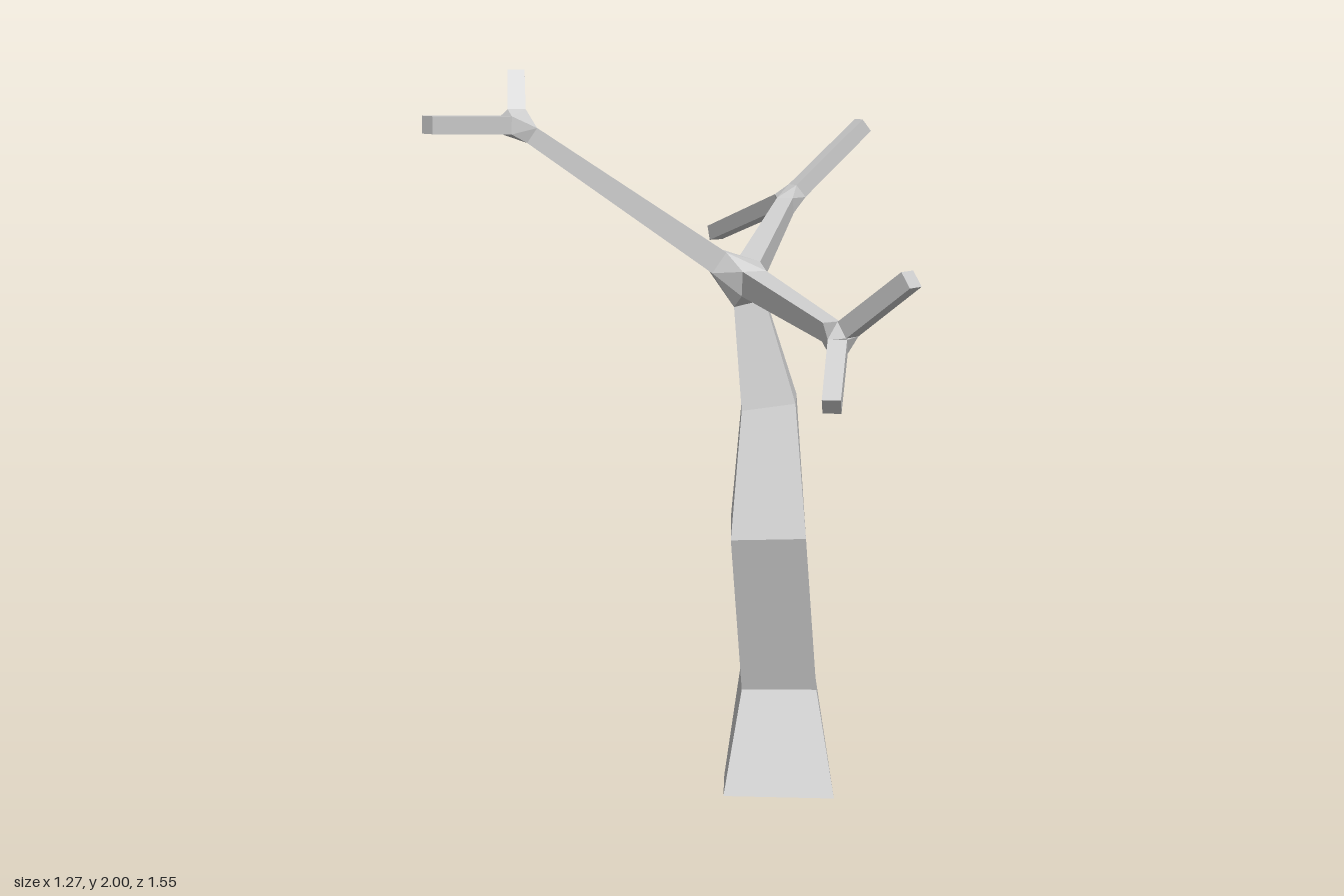
import * as THREE from 'three';
import { ConvexGeometry } from 'three/addons/geometries/ConvexGeometry.js';

const V = (p) => new THREE.Vector3(...p);
const material = new THREE.MeshStandardMaterial({ color: 0xcccccc, flatShading: true });

function add(group, geometry, name) {
  const mesh = new THREE.Mesh(geometry, material);
  mesh.name = name;
  group.add(mesh);
}

// Skin a stack of four-cornered rings and close both ends
function loft(rings) {
  const positions = [];
  const quad = (a, b, c, d) => [a, b, c, a, c, d].forEach((p) => positions.push(p.x, p.y, p.z));
  for (let k = 0; k + 1 < rings.length; k++) {
    const lower = rings[k], upper = rings[k + 1];
    for (let i = 0; i < 4; i++) {
      const j = (i + 1) % 4;
      quad(lower[i], lower[j], upper[j], upper[i]);
    }
  }
  const first = rings[0], last = rings[rings.length - 1];
  quad(first[3], first[2], first[1], first[0]);
  quad(last[0], last[1], last[2], last[3]);
  const geometry = new THREE.BufferGeometry();
  geometry.setAttribute('position', new THREE.Float32BufferAttribute(positions, 3));
  geometry.computeVertexNormals();
  return geometry;
}

// Square ring around a centre, perpendicular to a direction, with level sides
function ring(center, direction, half) {
  const u = new THREE.Vector3(0, 1, 0).cross(direction).normalize();
  const v = direction.clone().cross(u);
  return [[-1, -1], [1, -1], [1, 1], [-1, 1]].map(([a, b]) =>
    center.clone().addScaledVector(u, a * half).addScaledVector(v, b * half));
}

// Tapered square stick as a pair of rings
function stick(from, to, halfFrom, halfTo) {
  const direction = to.clone().sub(from).normalize();
  return [ring(from, direction, halfFrom), ring(to, direction, halfTo)];
}

export function createModel() {
  const tree = new THREE.Group();
  tree.name = 'bareTree';

  // Bent trunk: each ring is front right, front left, back left, back right
  const trunk = [
    [[0.085, 0.06, 0.235], [0.38, 0.055, 0.18], [0.325, 0.0, -0.11], [0.03, 0.005, -0.055]],
    [[0.115, 0.33, 0.13], [0.315, 0.33, 0.09], [0.275, 0.345, -0.11], [0.075, 0.34, -0.07]],
    [[0.105, 0.78, 0.24], [0.3, 0.785, 0.205], [0.26, 0.8, 0], [0.065, 0.79, 0.035]],
    [[0.115, 1.11, 0.145], [0.255, 1.13, 0.12], [0.235, 1.13, -0.02], [0.09, 1.12, 0.01]],
    [[0.085, 1.38, 0.1], [0.165, 1.4, 0.085], [0.15, 1.4, 0], [0.07, 1.39, 0.01]],
  ].map((corners) => corners.map(V));
  add(tree, loft(trunk), 'trunk');

  // Three limbs, each forking into two twigs
  const limbs = [
    { name: 'right', root: [0.035, 1.497, 0.075], fork: [-0.455, 1.858, 0.255],
      tips: [[-0.47, 1.99, 0.205], [-0.615, 1.868, 0.485]] },
    { name: 'front', root: [0.14, 1.445, 0.11], fork: [0.43, 1.385, 0.57],
      tips: [[0.612, 1.54, 0.683], [0.442, 1.25, 0.76]] },
    { name: 'back', root: [0.106, 1.46, -0.005], fork: [0.14, 1.62, -0.445],
      tips: [[0.332, 1.825, -0.592], [-0.142, 1.485, -0.76]] },
  ];
  const hub = [...trunk[4]];
  for (const { name, root, fork, tips } of limbs) {
    const branch = new THREE.Group();
    branch.name = name + 'Branch';
    const start = V(root), knot = V(fork);
    const toward = (p, d) => knot.clone().add(p.clone().sub(knot).setLength(d));

    const limb = stick(start, toward(start, 0.045), 0.033, 0.023);
    add(branch, loft(limb), name + 'Limb');
    hub.push(...limb[0]);

    const joint = [...limb[1]];
    tips.map(V).forEach((tip, i) => {
      const twig = stick(toward(tip, 0.035), tip, 0.023, 0.022);
      add(branch, loft(twig), name + 'Twig' + (i + 1));
      joint.push(...twig[0]);
    });
    add(branch, new ConvexGeometry(joint), name + 'Fork');
    tree.add(branch);
  }

  // Crown where the trunk meets the limbs
  add(tree, new ConvexGeometry(hub), 'crown');
  return tree;
}
